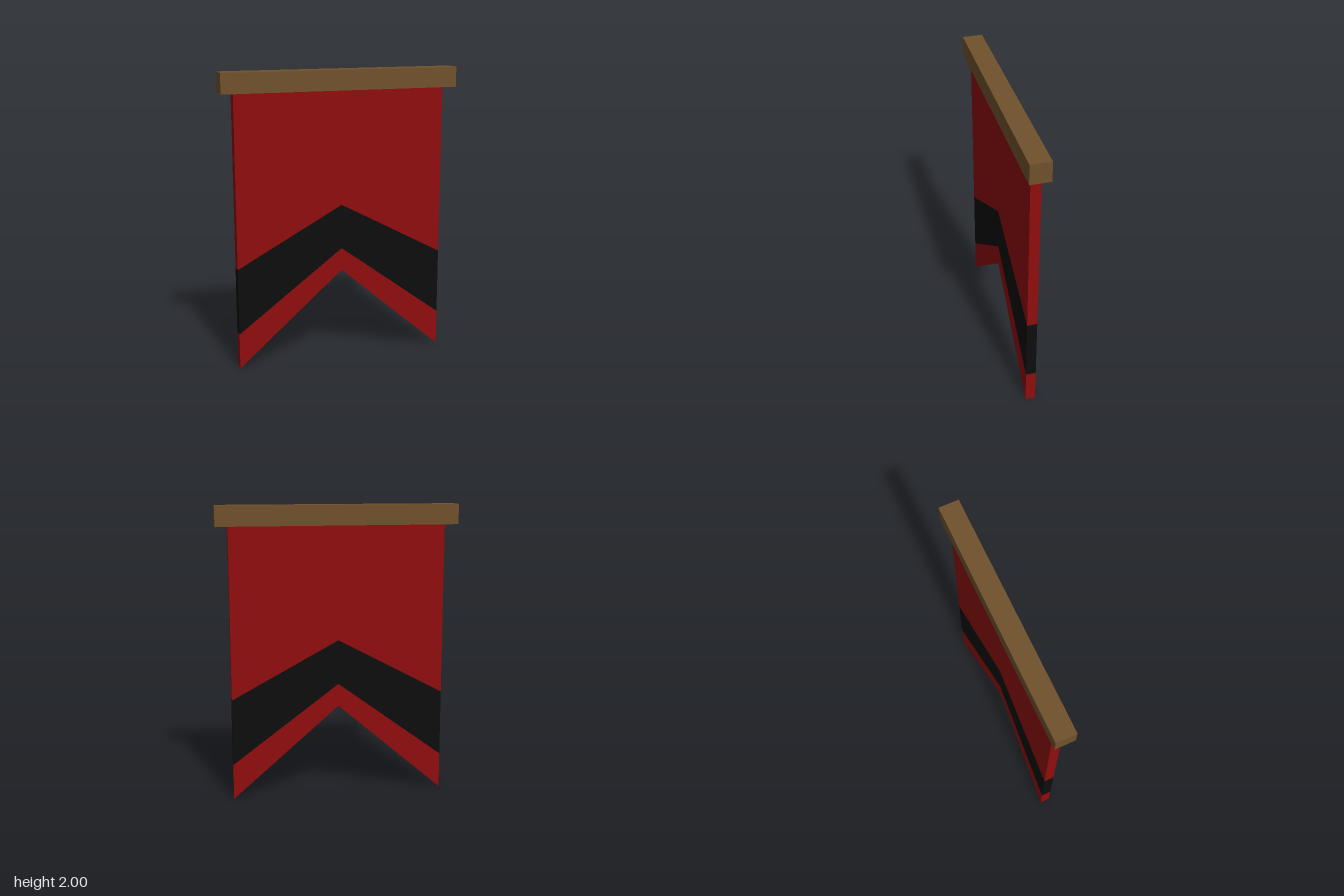
import * as THREE from 'three';

const HALF_WIDTH = 0.73;
const THICKNESS = 0.068;

// Strip of cloth between two chevron lines, each given as [height at sides, height at centre]
function clothStrip(name, lower, upper, material) {
  const shape = new THREE.Shape([
    new THREE.Vector2(-HALF_WIDTH, lower[0]),
    new THREE.Vector2(0, lower[1]),
    new THREE.Vector2(HALF_WIDTH, lower[0]),
    new THREE.Vector2(HALF_WIDTH, upper[0]),
    new THREE.Vector2(0, upper[1]),
    new THREE.Vector2(-HALF_WIDTH, upper[0]),
  ]);
  const geometry = new THREE.ExtrudeGeometry(shape, { depth: THICKNESS, bevelEnabled: false });
  geometry.translate(0, 0, -THICKNESS / 2);
  const mesh = new THREE.Mesh(geometry, material);
  mesh.name = name;
  return mesh;
}

export function createModel() {
  const group = new THREE.Group();
  group.name = 'banner';

  const red = new THREE.MeshStandardMaterial({ color: 0x900d0e });
  red.name = 'red cloth';
  const black = new THREE.MeshStandardMaterial({ color: 0x0d0d0d });
  black.name = 'black cloth';
  const brown = new THREE.MeshStandardMaterial({ color: 0x70512c });
  brown.name = 'brown wood';

  // Wooden bar along the top
  const bar = new THREE.Mesh(new THREE.BoxGeometry(1.63, 0.135, 0.135), brown);
  bar.name = 'topBar';
  bar.position.y = 2 - 0.135 / 2;
  group.add(bar);

  // Swallow-tailed cloth with a black chevron; neighbouring strips share their edges
  const hem = [0, 0.63];
  const bandBottom = [0.245, 0.785];
  const bandTop = [0.7, 1.09];
  const clothTop = [1.87, 1.87];
  group.add(
    clothStrip('clothTail', hem, bandBottom, red),
    clothStrip('chevronBand', bandBottom, bandTop, black),
    clothStrip('clothUpper', bandTop, clothTop, red),
  );

  return group;
}
